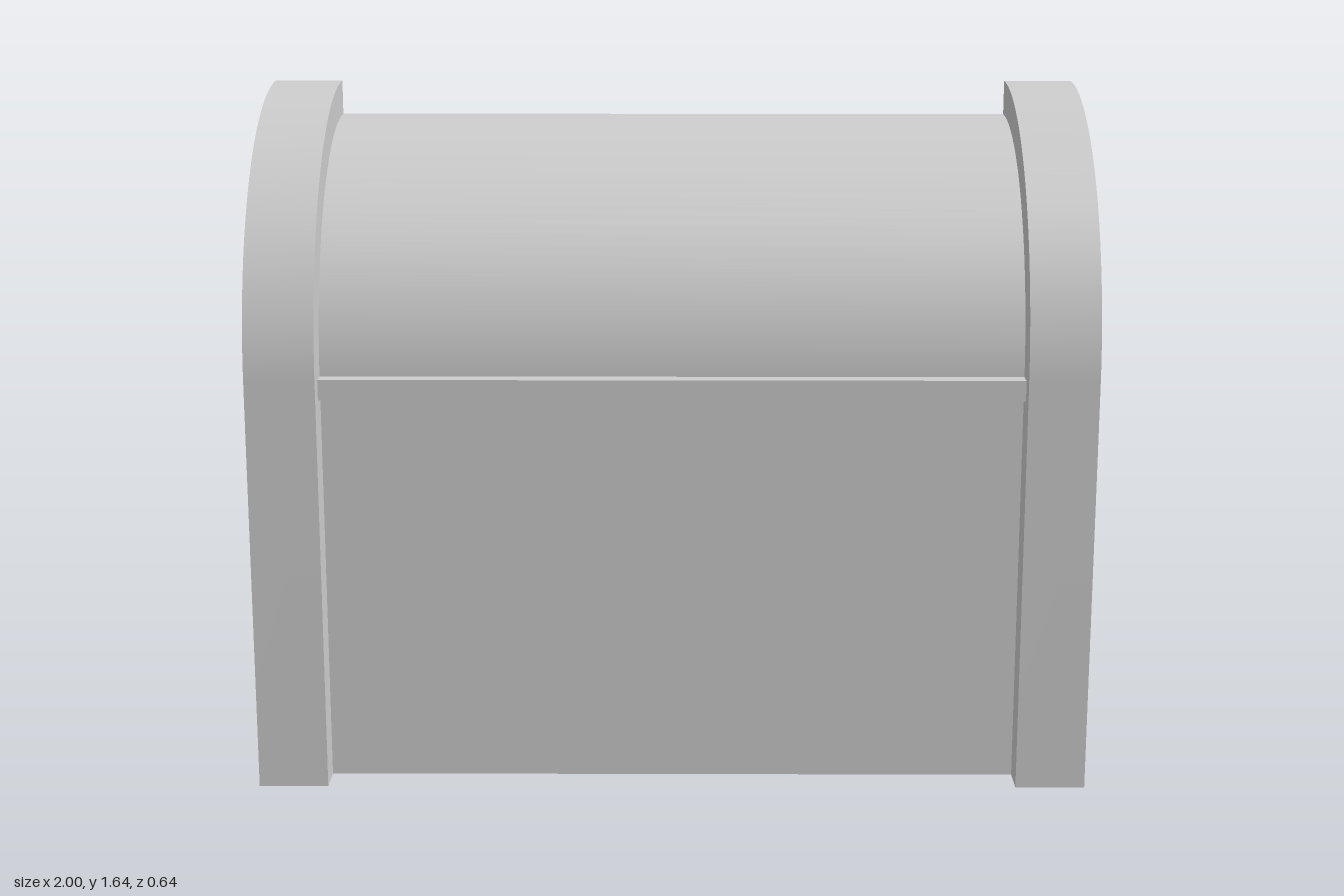
import * as THREE from 'three';
import { toCreasedNormals } from 'three/addons/utils/BufferGeometryUtils.js';

export function createModel() {
  const model = new THREE.Group();
  model.name = 'curvedShelterWall';

  const grey = new THREE.MeshStandardMaterial({ color: 0xcccccc, side: THREE.DoubleSide });
  grey.name = 'lightGrey';

  const POST = 1 / 6;               // square post section
  const FRONT = 0.32, BEND_Y = 1;   // post front face, height where the bend starts
  const R_OUT = 0.64, R_IN = R_OUT - POST, R_MID = R_OUT - POST / 2;
  const SPAN = 2 - 2 * POST;        // clear width between the posts
  const PANEL_Z = FRONT - POST / 2;

  const add = (name, geometry, x, y, z) => {
    const mesh = new THREE.Mesh(geometry, grey);
    mesh.name = name;
    mesh.position.set(x, y, z);
    model.add(mesh);
  };

  // Side posts: upright, then a quarter bend towards the back
  const profile = new THREE.Shape();
  profile.moveTo(FRONT, 0);
  profile.lineTo(FRONT, BEND_Y);
  profile.absarc(-FRONT, BEND_Y, R_OUT, 0, Math.PI / 2, false);
  profile.lineTo(-FRONT, BEND_Y + R_IN);
  profile.absarc(-FRONT, BEND_Y, R_IN, Math.PI / 2, 0, true);
  profile.lineTo(FRONT - POST, 0);
  const post = toCreasedNormals(
    new THREE.ExtrudeGeometry(profile, { depth: POST, bevelEnabled: false, curveSegments: 32 })
      .rotateY(-Math.PI / 2), 0.5);
  add('leftPost', post, 1, 0, 0);
  add('rightPost', post, -1 + POST, 0, 0);

  // Flat lower panel
  add('lowerPanel', new THREE.PlaneGeometry(SPAN, BEND_Y), 0, BEND_Y / 2, PANEL_Z);

  // Curved upper panel following the middle of the bend
  const curve = new THREE.CylinderGeometry(R_MID, R_MID, SPAN, 32, 1, true, 0, Math.PI / 2);
  add('curvedPanel', curve.rotateZ(Math.PI / 2), 0, BEND_Y, -FRONT);

  // Cross rail where the two panels meet
  add('crossRail', new THREE.BoxGeometry(SPAN, 0.05, 0.08), 0, BEND_Y - 0.025, PANEL_Z);

  return model;
}
